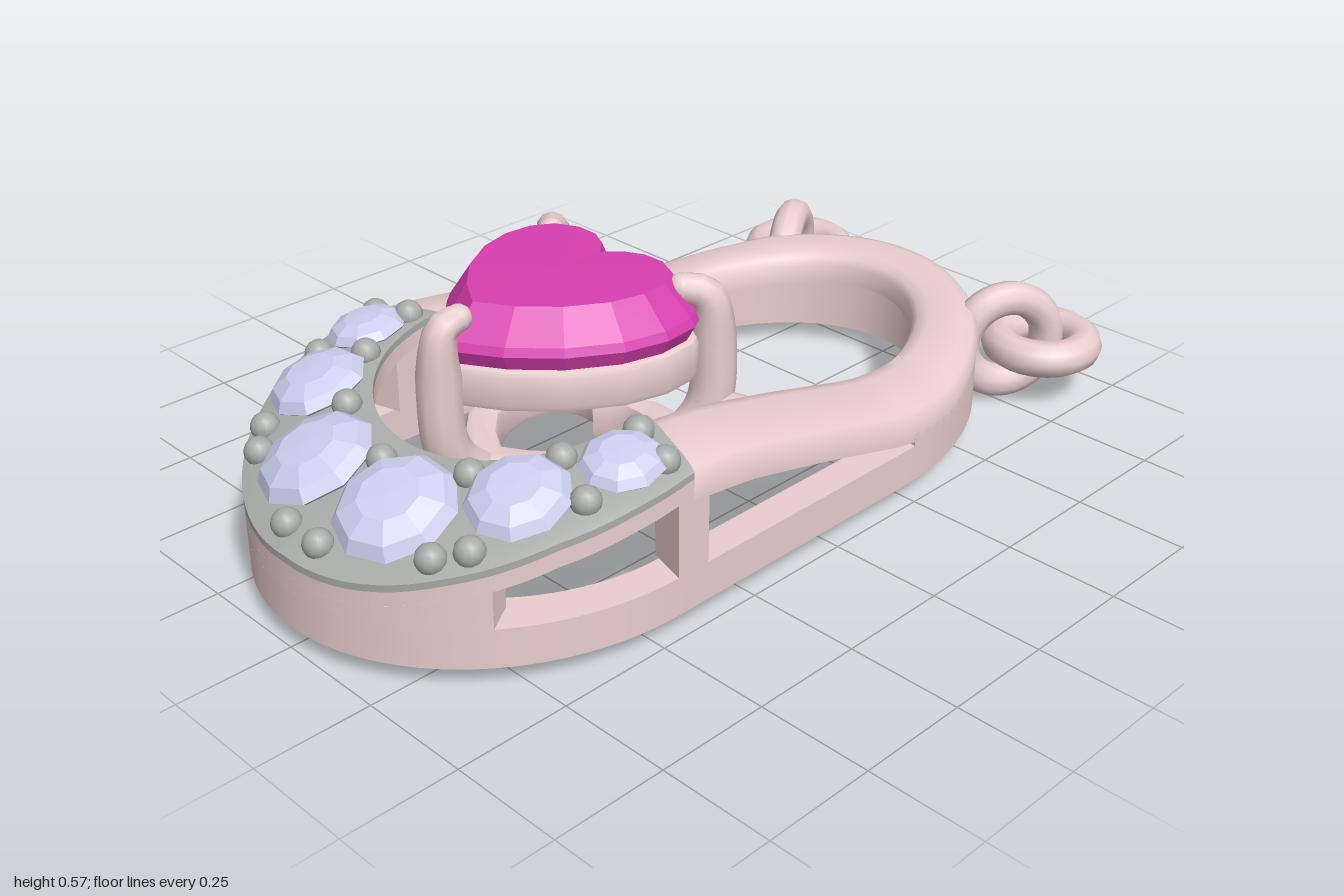
import * as THREE from 'three';
import { toCreasedNormals } from 'three/addons/utils/BufferGeometryUtils.js';

const metal = new THREE.MeshStandardMaterial({ color: 0xe9cecc });
const grey = new THREE.MeshStandardMaterial({ color: 0xa9aca8 });
const clear = new THREE.MeshStandardMaterial({ color: 0xccd0ee, flatShading: true });
const pink = new THREE.MeshStandardMaterial({ color: 0xd83fb0, flatShading: true });
const V = (x, y, z) => new THREE.Vector3(x, y, z);

// Height of the frame's top along z, falling a little towards the outer edge
const profile = [[-0.83, 0.268], [-0.6, 0.24], [-0.4, 0.23], [-0.22, 0.252], [0.03, 0.318], [0.25, 0.37],
  [0.4, 0.388], [0.55, 0.366], [0.7, 0.333], [0.87, 0.27], [0.995, 0.212]];
function topY(x, z) {
  const r = Math.hypot(x / 0.488, Math.max(0, z - 0.45) / 0.545);
  const drop = 0.035 * THREE.MathUtils.clamp((r - 0.63) / 0.37, 0, 1) * Math.abs(x) / 0.488;
  const i = Math.max(1, profile.findIndex(p => z <= p[0] + 1e-6));
  const [z0, y0] = profile[i - 1], [z1, y1] = profile[i];
  return y0 + (y1 - y0) * Math.max(0, (z - z0) / (z1 - z0)) - drop;
}

// Plan of the oval: s = 0 front, 1 back, negative or above 1 is the mirrored side
function planEdge(s, w, zf, rf, zb, rb) {
  if (s <= 0.4) {
    const a = s / 0.4 * Math.PI / 2;
    return [w * Math.sin(a), zf + rf * Math.cos(a)];
  }
  if (s <= 0.6) return [w, zf + (zb - zf) * (s - 0.4) / 0.2];
  const a = (s - 0.6) / 0.4 * Math.PI / 2;
  return [w * Math.cos(a), zb - rb * Math.sin(a)];
}
function plan(s, f) {
  let side = 1;
  if (s < 0) { s = -s; side = -1; }
  if (s > 1) { s = 2 - s; side = -side; }
  const o = planEdge(s, 0.488, 0.45, 0.545, -0.22, 0.61);
  const n = planEdge(s, 0.31, 0.4, 0.3, -0.26, 0.44);
  return [side * (o[0] + (n[0] - o[0]) * f), o[1] + (n[1] - o[1]) * f];
}

// Skin over a row of closed sections, with capped ends
function loft(rings) {
  const n = rings[0].length, pos = [], idx = [], last = (rings.length - 1) * n;
  rings.forEach(r => r.forEach(p => pos.push(p.x, p.y, p.z)));
  for (let i = 0; i < rings.length - 1; i++) for (let k = 0; k < n; k++) {
    const a = i * n + k, d = i * n + (k + 1) % n;
    idx.push(a, a + n, d + n, a, d + n, d);
  }
  for (let k = 1; k < n - 1; k++) idx.push(0, k, k + 1, last, last + k + 1, last + k);
  const g = new THREE.BufferGeometry();
  g.setAttribute('position', new THREE.Float32BufferAttribute(pos, 3));
  g.setIndex(idx);
  g.computeVertexNormals();
  return g;
}

// Piece of the frame between s0 and s1, from the outer edge to width fraction f
function band(s0, s1, f, lo, hi, bevel = 0) {
  const steps = Math.max(2, Math.ceil((s1 - s0) * 60)), rings = [];
  for (let i = 0; i <= steps; i++) {
    const at = (t, h, down = 0) => {
      const [x, z] = plan(s0 + (s1 - s0) * i / steps, t * f);
      return V(x, h(x, z) - down, z);
    };
    rings.push([at(0, lo), at(0, hi, bevel), at(0.08, hi, bevel * 0.35), at(0.25, hi), at(0.75, hi),
      at(0.92, hi, bevel * 0.35), at(1, hi, bevel), at(1, lo)]);
  }
  return toCreasedNormals(loft(rings), 0.7);
}

// Heart outline in plan, counter-clockwise from above, scaled about its middle
const heartHalf = new THREE.CatmullRomCurve3([[0, 0.16], [0.06, 0.1], [0.15, 0.085], [0.235, 0.13], [0.265, 0.23],
  [0.235, 0.36], [0.13, 0.5], [0, 0.585]].map(([x, z]) => V(x, 0, z))).getPoints(10);
function heart(scale, y) {
  const left = heartHalf.map(p => V(-p.x, 0, p.z));
  const right = heartHalf.slice(1, -1).reverse();
  return [...left, ...right].map(p => V(p.x * scale, y, 0.3 + (p.z - 0.3) * scale));
}
function heartRing(outer, inner, y, h) {
  const flat = s => heart(s, 0).map(p => new THREE.Vector2(p.x, -p.z));
  const shape = new THREE.Shape(flat(outer));
  shape.holes.push(new THREE.Path(flat(inner)));
  const g = new THREE.ExtrudeGeometry(shape, { depth: h - 0.03, bevelThickness: 0.015, bevelSize: 0.015, bevelOffset: -0.015, bevelSegments: 2 });
  g.rotateX(-Math.PI / 2).translate(0, y + 0.015, 0);
  return toCreasedNormals(g, 0.7);
}

export function createModel() {
  const group = new THREE.Group();
  const add = (name, geo, mat = metal) => {
    const m = new THREE.Mesh(geo, mat);
    m.name = name;
    group.add(m);
    return m;
  };
  // Round bar along a curve, its start drawn in to a blunt tip of radius r0
  const bar = (name, pts, r0, r1) => {
    const path = new THREE.CatmullRomCurve3(pts), steps = 24, sides = 10;
    const g = new THREE.TubeGeometry(path, steps, 1, sides), p = g.attributes.position;
    for (let i = 0; i <= steps; i++) {
      const c = path.getPointAt(i / steps), r = r0 + (r1 - r0) * Math.min(1, i / 8);
      for (let k = 0; k <= sides; k++) {
        const j = i * (sides + 1) + k, v = V(0, 0, 0).fromBufferAttribute(p, j).sub(c).multiplyScalar(r).add(c);
        p.setXYZ(j, v.x, v.y, v.z);
      }
    }
    add(name, g);
    add(name + 'Tip', new THREE.SphereGeometry(r0, 10, 8)).position.copy(pts[0]);
    add(name + 'Foot', new THREE.SphereGeometry(r1, 10, 8)).position.copy(pts[pts.length - 1]);
  };
  const level = y => () => y, below = d => (x, z) => topY(x, z) - d;

  // Frame: lower rail, solid front and back walls, sloping top rail
  add('bottomRail', band(-1, 1, 0.42, level(0.047), level(0.132)));
  add('frontWall', band(-0.22, 0.22, 0.3, level(0.132), below(0.05)));
  add('backWall', band(0.615, 1.385, 0.75, level(0.047), below(0.05)));
  add('topRail', band(0.412, 1.588, 1, below(0.07), topY, 0.025));
  add('frontRail', band(-0.412, 0.412, 1, below(0.055), below(0.02)));
  add('stoneBed', band(-0.412, 0.412, 1, below(0.02), topY, 0.005), grey);
  for (const s of [0.4, -0.424]) add('sidePost', band(s, s + 0.024, 0.5, level(0.132), below(0.05)));

  // Small faceted stones set in the front
  for (const side of [-1, 1]) for (const [x, z, r] of [[0.125, 0.825, 0.125], [0.31, 0.685, 0.105], [0.39, 0.5, 0.085]]) {
    const g = new THREE.LatheGeometry([[0, -0.8], [0.95, -0.05], [1, 0], [0.85, 0.2], [0.5, 0.36], [0, 0.38]]
      .map(([a, b]) => new THREE.Vector2(a * r, b * r)), 9);
    const stone = add('smallStone', g, clear);
    stone.position.set(side * x, topY(x, z) + 0.006, z);
    const slopeZ = (topY(x, z + 0.08) - topY(x, z - 0.08)) / 0.16;
    stone.quaternion.setFromUnitVectors(V(0, 1, 0), V(side * 0.12, 1, -slopeZ).normalize());
  }

  // Setting beads between the stones
  const bead = (x, z) => add('bead', new THREE.SphereGeometry(0.031, 12, 8), grey).position.set(x, topY(x, z) + 0.005, z);
  for (const side of [-1, 1]) for (const [x, z] of [[0.44, 0.44], [0.35, 0.42], [0.41, 0.61], [0.3, 0.57],
    [0.32, 0.81], [0.27, 0.86], [0.19, 0.7], [0.05, 0.95]]) bead(side * x, z);
  bead(0, 0.76);

  // Heart stone with flat table, thin girdle and pointed pavilion
  add('heartStone', loft([[0.01, 0.569], [0.78, 0.567], [0.97, 0.5], [1, 0.482], [0.94, 0.45], [0.55, 0.37], [0.01, 0.29]]
    .map(([s, y]) => heart(s, y))), pink);
  add('upperGallery', heartRing(1, 0.82, 0.36, 0.09));
  add('lowerGallery', heartRing(0.88, 0.58, 0.14, 0.09));

  // Claws and the struts joining them to the frame
  bar('frontClaw', [V(0, 0.545, 0.56), V(0, 0.535, 0.6), V(0, 0.42, 0.615), V(0, 0.27, 0.6), V(0, 0.18, 0.52)], 0.028, 0.047);
  bar('frontStrut', [V(0, 0.21, 0.57), V(0, 0.23, 0.66), V(0, 0.285, 0.73)], 0.035, 0.035);
  for (const side of [-1, 1]) {
    bar('sideClaw', [V(side * 0.195, 0.54, 0.15), V(side * 0.23, 0.525, 0.115), V(side * 0.24, 0.42, 0.105),
      V(side * 0.235, 0.28, 0.115), V(side * 0.19, 0.18, 0.18)], 0.03, 0.047);
    bar('sideStrut', [V(side * 0.24, 0.28, 0.11), V(side * 0.34, 0.28, 0.085)], 0.035, 0.035);

    // Upright loop through the frame and flat loop linked to it
    const upright = add('uprightLoop', new THREE.TorusGeometry(0.105, 0.04, 10, 32));
    upright.position.set(side * 0.335, 0.148, -0.775);
    upright.rotation.y = side > 0 ? Math.PI / 3 : Math.PI * 2 / 3;
    const flat = add('flatLoop', new THREE.TorusGeometry(0.098, 0.043, 10, 32));
    flat.position.set(side * 0.38, 0.13, -0.86);
    flat.rotation.x = Math.PI / 2;
  }
  return group;
}
